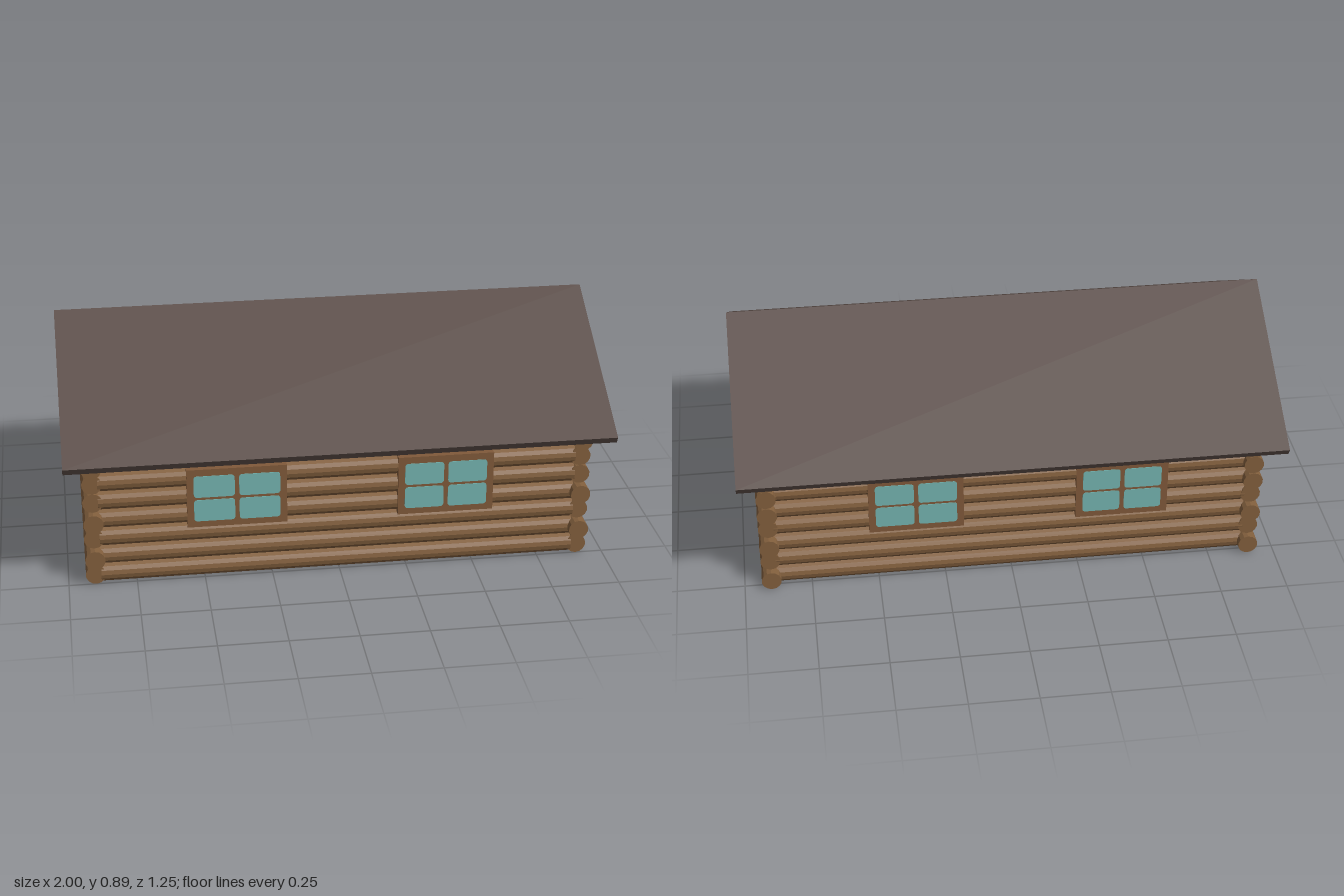
import * as THREE from 'three';

const wood = new THREE.MeshStandardMaterial({ color: 0x825f3d, flatShading: true, name: 'log wood' });
const trim = new THREE.MeshStandardMaterial({ color: 0x80593a, name: 'frame wood' });
const roofing = new THREE.MeshStandardMaterial({ color: 0x584a45, name: 'dark roofing' });
const glass = new THREE.MeshStandardMaterial({ color: 0x74b4b0, name: 'window glass' });

const R = 0.037, STEP = 0.073, Y0 = 0.039;      // log radius, spacing, first centre
const WALL_Z = 0.47, END_X = 0.9, SLOPE = Math.tan(Math.PI / 6), UNDER = 0.857;

function add(parent, name, geometry, material, x = 0, y = 0, z = 0) {
  const mesh = new THREE.Mesh(geometry, material);
  mesh.name = name;
  mesh.position.set(x, y, z);
  parent.add(mesh);
  return mesh;
}

// Log along 'x' or 'z' between two positions
function log(parent, name, axis, from, to, y, offset) {
  const g = new THREE.CylinderGeometry(R, R, to - from, 14);
  const mid = (from + to) / 2;
  if (axis === 'x') {
    g.rotateZ(Math.PI / 2);
    return add(parent, name, g, wood, mid, y, offset);
  }
  g.rotateX(Math.PI / 2);
  return add(parent, name, g, wood, offset, y, mid);
}

// Rounded glass pane, extruded as a thin plate
function paneGeometry(w, h, r = 0.012) {
  const s = new THREE.Shape();
  const a = w / 2 - r, b = h / 2 - r;
  s.absarc(a, b, r, 0, Math.PI / 2);
  s.absarc(-a, b, r, Math.PI / 2, Math.PI);
  s.absarc(-a, -b, r, Math.PI, Math.PI * 1.5);
  s.absarc(a, -b, r, Math.PI * 1.5, Math.PI * 2);
  return new THREE.ExtrudeGeometry(s, { depth: 0.005, bevelEnabled: false, curveSegments: 4 });
}

// Four-pane window filling the opening x0..x1
function windowUnit(parent, x0, x1) {
  const g = new THREE.Group();
  g.name = 'window';
  g.position.set((x0 + x1) / 2, 0.33, 0);
  parent.add(g);
  const w = x1 - x0, pw = w / 2 - 0.033;
  add(g, 'windowFrame', new THREE.BoxGeometry(w, 0.23, 0.035), trim, 0, 0, 0.494);
  for (const sx of [-1, 1]) {
    for (const sy of [-1, 1]) {
      add(g, 'windowPane', paneGeometry(pw, 0.085), glass,
        sx * (pw / 2 + 0.008), sy * 0.0475 - 0.001, 0.5085);
    }
  }
}

// Long wall with its logs cut around two windows
function longWall(name, openings) {
  const g = new THREE.Group();
  g.name = name;
  for (let i = 0; i < 8; i++) {
    const y = Y0 + i * STEP - (i === 7 ? 0.003 : 0);
    const cuts = i >= 3 && i <= 5 ? openings.flat() : [];
    const stops = [-0.88, ...cuts, 0.88];
    for (let k = 0; k < stops.length; k += 2) {
      log(g, 'wallLog', 'x', stops[k], stops[k + 1], y, WALL_Z);
    }
  }
  for (const [a, b] of openings) windowUnit(g, a, b);
  return g;
}

// Gable log whose ends follow the underside of the roof
function gableLog(parent, x, y) {
  const mesh = log(parent, 'gableLog', 'z', -0.5, 0.5, y, x);
  const p = mesh.geometry.attributes.position;
  for (let i = 0; i < p.count; i++) {
    const limit = Math.max(0, Math.min(0.5, (UNDER - y - p.getY(i)) / SLOPE));
    p.setZ(i, Math.sign(p.getZ(i)) * limit);
    if (p.getY(i) + y > UNDER) p.setY(i, UNDER - y);
  }
  mesh.geometry.computeVertexNormals();
}

// End wall with staggered logs, gable and optional door opening
function endWall(name, x, door) {
  const g = new THREE.Group();
  g.name = name;
  const front = [0.5, 0.53, 0.5, 0.53, 0.502, 0.502, 0.53];
  const back = [-0.53, -0.506, -0.53, -0.506, -0.53, -0.527, -0.53];
  for (let i = 0; i < 7; i++) {
    const cuts = door && i < 6 ? door : [];
    const stops = [back[i], ...cuts, front[i]];
    for (let k = 0; k < stops.length; k += 2) {
      log(g, 'endLog', 'z', stops[k], stops[k + 1], Y0 + i * STEP, x);
    }
  }
  for (let i = 7; i < 12; i++) gableLog(g, x, Y0 + i * STEP);
  if (door) {
    add(g, 'door', new THREE.BoxGeometry(0.03, 0.442, door[1] - door[0]), wood,
      x + 0.005, 0.223, (door[0] + door[1]) / 2);
  }
  return g;
}

export function createModel() {
  const model = new THREE.Group();
  model.name = 'logCabin';

  model.add(longWall('frontWall', [[-0.56, -0.195], [0.215, 0.57]]));
  const backWall = longWall('backWall', [[-0.53, -0.18], [0.237, 0.58]]);
  backWall.rotation.y = Math.PI;
  model.add(backWall);

  model.add(endWall('leftWall', END_X, [-0.168, 0.115]));
  model.add(endWall('rightWall', -END_X, null));

  // Roof: one chevron section swept along the ridge
  const s = new THREE.Shape([
    [0, 0.89], [-0.625, 0.529], [-0.611, 0.504], [0, UNDER], [0.611, 0.504], [0.625, 0.529],
  ].map(([a, b]) => new THREE.Vector2(a, b)));
  const roof = new THREE.ExtrudeGeometry(s, { depth: 2, bevelEnabled: false });
  roof.translate(0, 0, -1);
  roof.rotateY(Math.PI / 2);
  add(model, 'roof', roof, roofing);

  return model;
}
